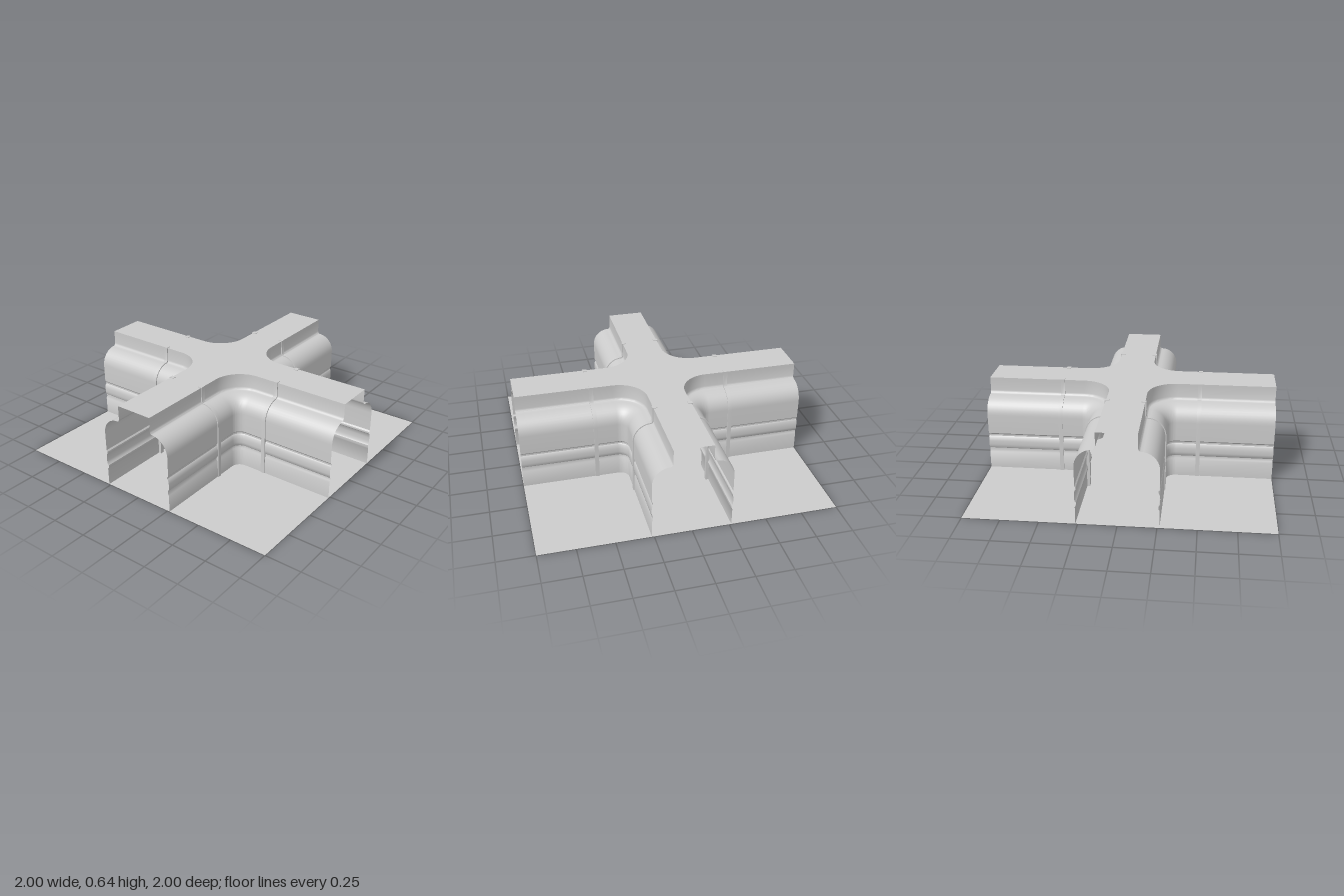
import * as THREE from 'three';
import { toCreasedNormals } from 'three/addons/utils/BufferGeometryUtils.js';

const TOP = 0.635;      // roof height
const CENTRE = 0.33;    // plan centre of every rounded corner
const EDGE = 0.13;      // half width of the roof

// points of a quarter-type arc in the (distance, height) plane
function arc(cx, cy, r, a0, a1, n) {
  return Array.from({ length: n + 1 }, (_, i) => {
    const a = a0 + (a1 - a0) * i / n;
    return [cx + r * Math.cos(a), cy + r * Math.sin(a)];
  });
}

// wall cross-section: distance from the corridor axis, height
const wallProfile = [
  [0.265, 0], [0.265, 0.12], [0.257, 0.132], [0.257, 0.15], [0.265, 0.16],
  [0.268, 0.18], [0.268, 0.205], [0.264, 0.235], [0.257, 0.243], [0.257, 0.255], [0.265, 0.265],
  ...arc(0.145, 0.4, 0.12, 0, Math.PI / 2, 10),
  [0.138, 0.523], [0.133, 0.53], [EDGE, 0.54], [EDGE, 0.62], [EDGE, TOP],
];

// plan line around one corner at distance d from both corridor axes
function planLine(d) {
  const pts = [[1, d]];
  for (const [x, z] of arc(CENTRE, CENTRE, CENTRE - d, -Math.PI / 2, -Math.PI, 16)) pts.push([x, z]);
  pts.push([d, 1]);
  return pts;
}

// sweep the cross-section round the corner
function wallGeometry() {
  const pos = [], idx = [];
  const rows = wallProfile.map(([d, y]) => planLine(d).map(([x, z]) => [x, y, z]));
  const n = rows[0].length;
  rows.forEach((row, j) => row.forEach((p, i) => {
    pos.push(...p);
    if (j && i) {
      const a = (j - 1) * n + i - 1, b = a + 1, c = a + n, e = c + 1;
      idx.push(a, c, b, b, c, e);
    }
  }));
  const g = new THREE.BufferGeometry();
  g.setAttribute('position', new THREE.Float32BufferAttribute(pos, 3));
  g.setIndex(idx);
  return toCreasedNormals(g, 0.6);
}

// rib: a strip following the wall, standing proud mostly on the inside
function ribGeometry() {
  const outer = [[0.272, 0], ...arc(0.145, 0.4, 0.127, 0, Math.PI / 2, 10), [0.137, 0.54], [0.137, TOP + 0.004]];
  const inner = [[0.105, TOP + 0.004], [0.105, TOP - 0.004], [0.115, TOP - 0.008], [0.115, 0.525],
    [0.12, 0.512], [0.132, 0.506], ...arc(0.145, 0.4, 0.1, Math.PI / 2, 0, 10), [0.245, 0]];
  const shape = new THREE.Shape([...outer, ...inner].map(([x, y]) => new THREE.Vector2(x, y)));
  const g = new THREE.ExtrudeGeometry(shape, { depth: 0.028, bevelEnabled: false });
  g.translate(0, 0, -0.014);
  return toCreasedNormals(g, 0.6);
}

// cross-shaped roof with concave rounded inner corners
function roofGeometry() {
  const pts = [];
  for (let k = 0; k < 4; k++) {
    const c = Math.round(Math.cos(k * Math.PI / 2)), s = Math.round(Math.sin(k * Math.PI / 2));
    for (const [x, y] of planLine(EDGE)) pts.push(new THREE.Vector2(x * c - y * s, x * s + y * c));
  }
  return new THREE.ShapeGeometry(new THREE.Shape(pts)).rotateX(-Math.PI / 2);
}

export function createModel() {
  const model = new THREE.Group();
  model.name = 'corridorCrossing';
  const grey = new THREE.MeshStandardMaterial({ color: 0xcccccc, side: THREE.DoubleSide });
  const add = (parent, name, geometry) => {
    const mesh = new THREE.Mesh(geometry, grey);
    mesh.name = name;
    parent.add(mesh);
    return mesh;
  };

  // floor and roof
  add(model, 'floor', new THREE.PlaneGeometry(2, 2).rotateX(-Math.PI / 2));
  add(model, 'roof', roofGeometry()).position.y = TOP;

  // four corner walls, each with a rib on both legs
  const wall = wallGeometry(), rib = ribGeometry();
  for (let k = 0; k < 4; k++) {
    const corner = new THREE.Group();
    corner.name = 'corner' + (k + 1);
    corner.rotation.y = k * Math.PI / 2;
    add(corner, 'wall', wall);
    add(corner, 'ribA', rib).position.z = 0.48;
    const ribB = add(corner, 'ribB', rib);
    ribB.rotation.y = -Math.PI / 2;
    ribB.position.x = 0.48;
    model.add(corner);
  }
  return model;
}
